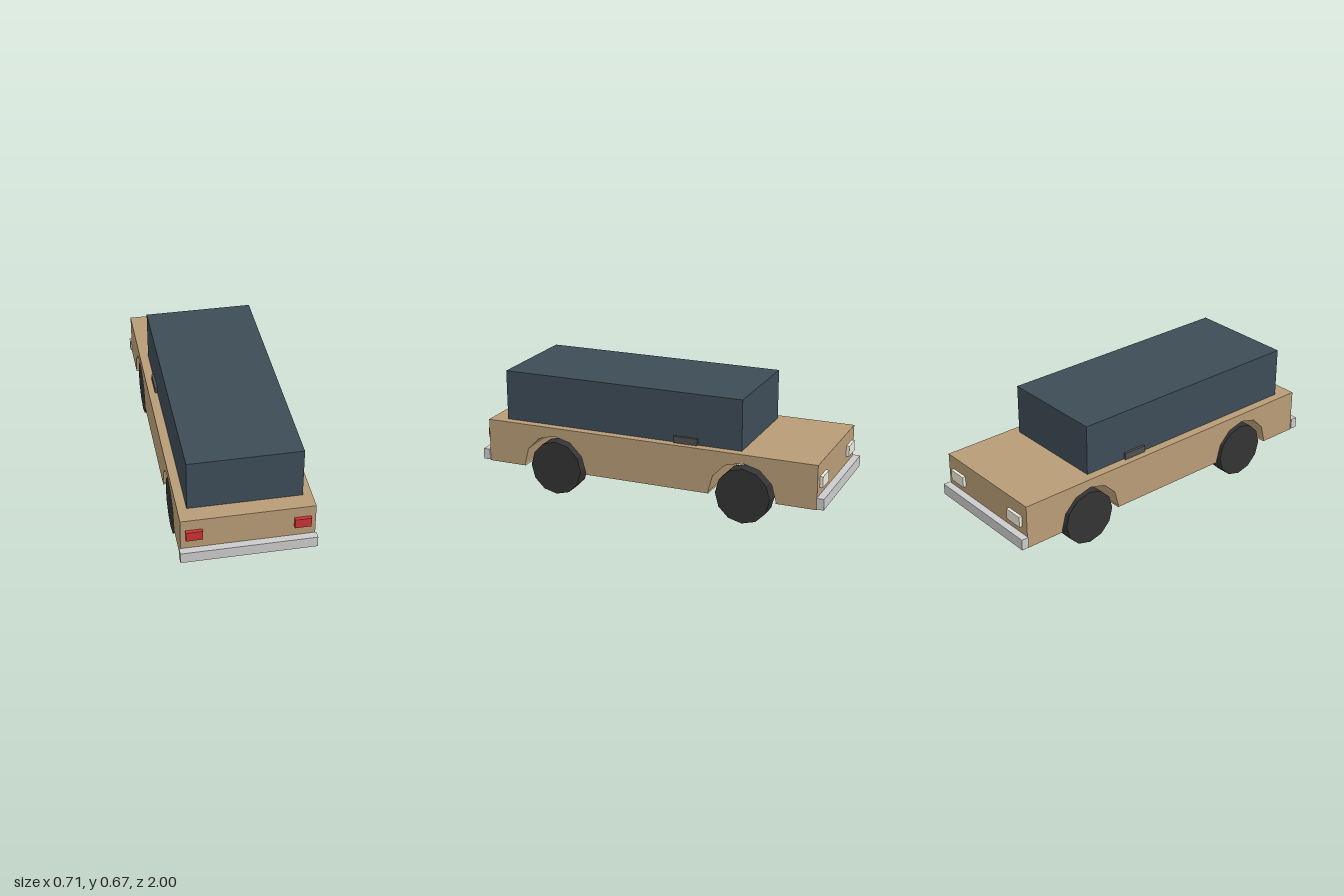
import * as THREE from 'three';

const material = (color) => new THREE.MeshStandardMaterial({ color, flatShading: true });

const AXLE_Z = 0.55, WHEEL_R = 0.153, ARCH_R = 0.19;
const BODY_BOTTOM = 0.145, BODY_TOP = 0.39, BODY_END = 0.96;

export function createModel() {
  const car = new THREE.Group();
  car.name = 'car';

  const paint = material(0xb89c76);
  const glass = material(0x3d4c57);
  const rubber = material(0x333333);
  const metal = material(0xcccccc);
  const red = material(0xcc3333);
  const lamp = material(0xeeeadb);
  const trim = material(0x505052);

  const add = (name, geometry, mat, x = 0, y = 0, z = 0) => {
    const mesh = new THREE.Mesh(geometry, mat);
    mesh.name = name;
    mesh.position.set(x, y, z);
    car.add(mesh);
  };

  // Box given by its extents on each axis
  const box = (name, mat, [x0, x1], [y0, y1], [z0, z1]) =>
    add(name, new THREE.BoxGeometry(x1 - x0, y1 - y0, z1 - z0), mat,
      (x0 + x1) / 2, (y0 + y1) / 2, (z0 + z1) / 2);

  // Body: side profile with faceted wheel arches, extruded across the width
  const profile = new THREE.Shape();
  profile.moveTo(-BODY_END, BODY_BOTTOM);
  for (const centre of [-AXLE_Z, AXLE_Z]) {
    profile.lineTo(centre - 0.187, BODY_BOTTOM);
    for (let i = 0; i <= 6; i++) {
      const a = Math.PI * (1 - i / 6);
      profile.lineTo(centre + ARCH_R * Math.cos(a), WHEEL_R + ARCH_R * Math.sin(a));
    }
    profile.lineTo(centre + 0.187, BODY_BOTTOM);
  }
  profile.lineTo(BODY_END, BODY_BOTTOM);
  profile.lineTo(BODY_END, BODY_TOP);
  profile.lineTo(-BODY_END, BODY_TOP);
  profile.closePath();
  const body = new THREE.ExtrudeGeometry(profile, { depth: 0.696, bevelEnabled: false });
  body.translate(0, 0, -0.348);
  body.rotateY(-Math.PI / 2);
  add('body', body, paint);

  // Cabin
  box('cabin', glass, [-0.299, 0.299], [BODY_TOP, 0.672], [-0.53, 0.865]);

  // Bumpers at both ends
  box('tailBumper', metal, [-0.355, 0.355], [0.152, 0.213], [BODY_END, 1]);
  box('noseBumper', metal, [-0.355, 0.355], [0.152, 0.213], [-1, -BODY_END]);

  // Wheels: twelve-sided, with a vertex at the top
  const wheel = new THREE.CylinderGeometry(WHEEL_R, WHEEL_R, 0.092, 12);
  wheel.rotateZ(Math.PI / 2);

  for (const [side, s] of [['left', 1], ['right', -1]]) {
    const span = (a, b) => (s > 0 ? [a, b] : [-b, -a]);
    add(side + 'TailWheel', wheel, rubber, s * 0.293, WHEEL_R, AXLE_Z);
    add(side + 'NoseWheel', wheel, rubber, s * 0.293, WHEEL_R, -AXLE_Z);
    box(side + 'TailLight', red, span(0.236, 0.322), [0.274, 0.328], [BODY_END, 0.98]);
    box(side + 'Headlight', lamp, span(0.197, 0.307), [0.255, 0.316], [-0.977, -BODY_END]);
    box(side + 'Mirror', trim, span(0.285, 0.313), [BODY_TOP, 0.427], [-0.282, -0.146]);
  }
  return car;
}
